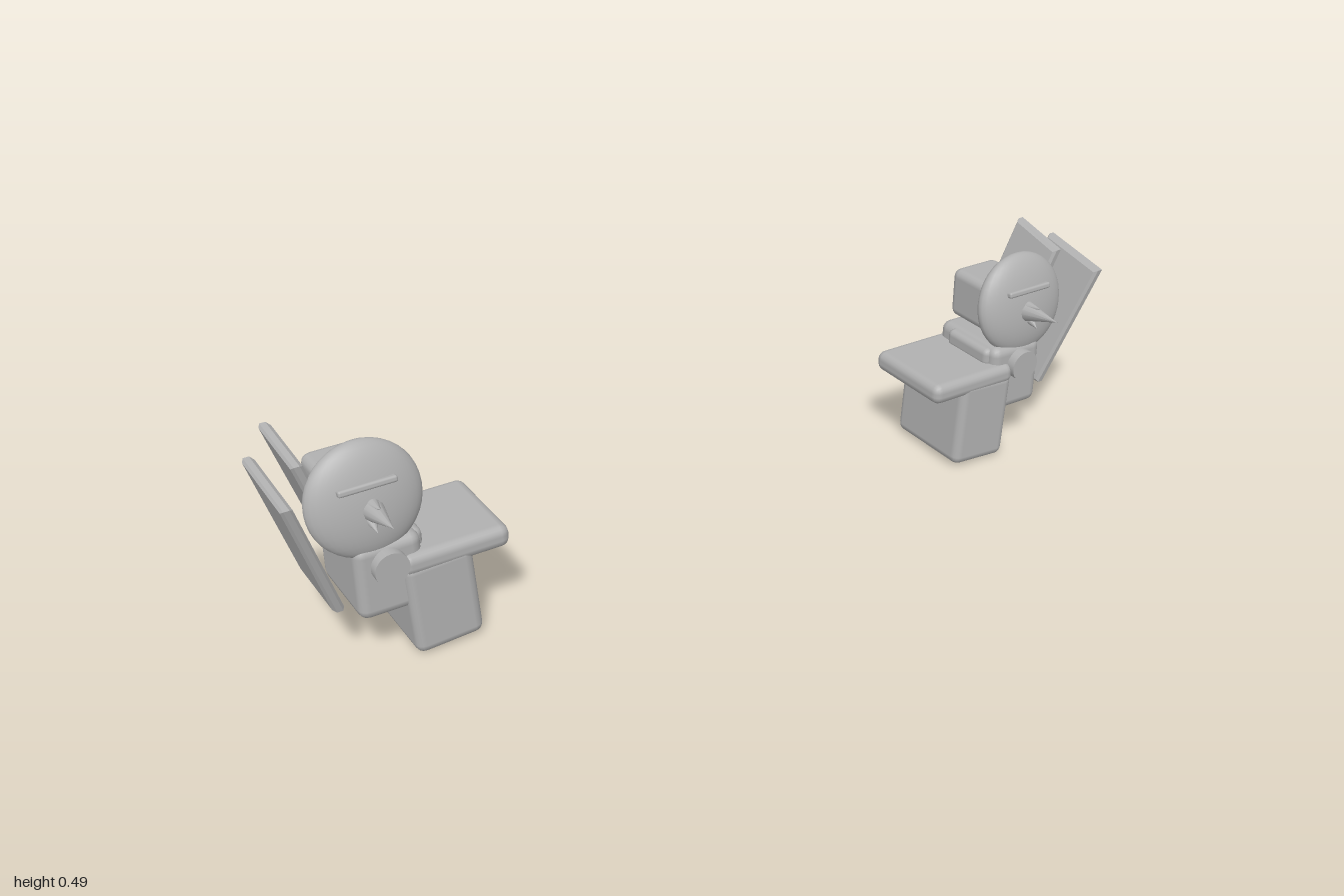
import * as THREE from 'three';
import { RoundedBoxGeometry } from 'three/addons/geometries/RoundedBoxGeometry.js';

const grey = new THREE.MeshStandardMaterial({ color: 0xb0b0b0 });
grey.name = 'plain grey';

// Box with soft edges, given by its low and high corners
function block(lo, hi, radius) {
  const size = hi.map((v, i) => v - lo[i]);
  const g = new RoundedBoxGeometry(...size, 2, radius);
  return g.translate(...hi.map((v, i) => (v + lo[i]) / 2));
}

// Cone pointing forward from its base centre, raised by an angle
function spike(x, y, z, radius, length, raise) {
  return new THREE.ConeGeometry(radius, length, 12)
    .translate(0, length / 2, 0)
    .rotateX(Math.PI / 2 - raise)
    .translate(x, y, z);
}

// Thin bevelled wing from a (z, y) outline, leaning outward with height
function wingPlate(outline, xBottom, yBottom, lean) {
  const bevel = 0.006;
  const shape = new THREE.Shape(outline.map(([z, y]) => new THREE.Vector2(z, y)));
  const g = new THREE.ExtrudeGeometry(shape, {
    depth: 0.012, bevelEnabled: true, bevelThickness: bevel,
    bevelSize: bevel, bevelOffset: -bevel, bevelSegments: 1,
  }).rotateY(-Math.PI / 2);
  const p = g.attributes.position;
  for (let i = 0; i < p.count; i++) {
    p.setX(i, p.getX(i) + xBottom + lean * (p.getY(i) - yBottom));
  }
  g.computeVertexNormals();
  return g;
}

// Reflected copy with the corner order put right again
function mirrored(source) {
  const g = source.clone().scale(-1, 1, 1);
  const index = g.index ? Array.from(g.index.array)
    : Array.from({ length: g.attributes.position.count }, (_, i) => i);
  for (let i = 0; i < index.length; i += 3) {
    [index[i + 1], index[i + 2]] = [index[i + 2], index[i + 1]];
  }
  g.setIndex(index);
  return g;
}

function figureParts() {
  const parts = {};

  // Slightly leaning pedestal under a flat plate
  parts.pedestal = new RoundedBoxGeometry(0.146, 0.21, 0.225, 2, 0.02)
    .rotateZ(-0.06).translate(0.684, 0.109, -0.033);
  parts.plate = block([0.535, 0.187, -0.152], [0.765, 0.236, 0.08], 0.02);

  // Body, with a roll along its inner side and a round front boss
  parts.body = block([0.715, 0.11, -0.14], [0.855, 0.275, 0.065], 0.022);
  parts.sideRoll = block([0.705, 0.225, -0.1], [0.75, 0.27, 0.045], 0.015);
  parts.frontBoss = new THREE.CylinderGeometry(0.036, 0.036, 0.05, 24)
    .rotateX(Math.PI / 2).translate(0.79, 0.227, 0.062);

  // Head block with a lens-shaped face tipped back
  parts.head = block([0.745, 0.28, -0.145], [0.873, 0.4, 0.02], 0.02);
  parts.face = new THREE.SphereGeometry(1, 32, 20).scale(0.119, 0.119, 0.04)
    .rotateX(-0.17).translate(0.81, 0.362, 0.024);
  parts.brow = new RoundedBoxGeometry(0.12, 0.014, 0.02, 2, 0.005)
    .translate(0, 0.036, 0.034).rotateX(-0.17).translate(0.81, 0.362, 0.024);

  // Beak
  parts.beak = spike(0.806, 0.352, 0.055, 0.024, 0.106, 0.12);
  parts.beakRidge = spike(0.806, 0.362, 0.05, 0.018, 0.052, 0.25);
  parts.lowerBeak = spike(0.812, 0.338, 0.055, 0.016, 0.04, -0.5);

  // Outer and inner wings
  parts.outerWing = wingPlate(
    [[0.04, 0.139], [-0.14, 0.139], [-0.078, 0.457], [0.102, 0.43]], 0.893, 0.139, 0.325);
  parts.innerWing = wingPlate(
    [[-0.01, 0.255], [-0.16, 0.255], [-0.13, 0.49], [0.018, 0.463]], 0.862, 0.255, 0.34);
  return parts;
}

export function createModel() {
  const model = new THREE.Group();
  model.name = 'pairOfFigures';
  const parts = figureParts();

  for (const side of ['left', 'right']) {
    const figure = new THREE.Group();
    figure.name = side + 'Figure';
    for (const [name, geometry] of Object.entries(parts)) {
      const mesh = new THREE.Mesh(side === 'left' ? geometry : mirrored(geometry), grey);
      mesh.name = name;
      figure.add(mesh);
    }
    model.add(figure);
  }
  return model;
}
